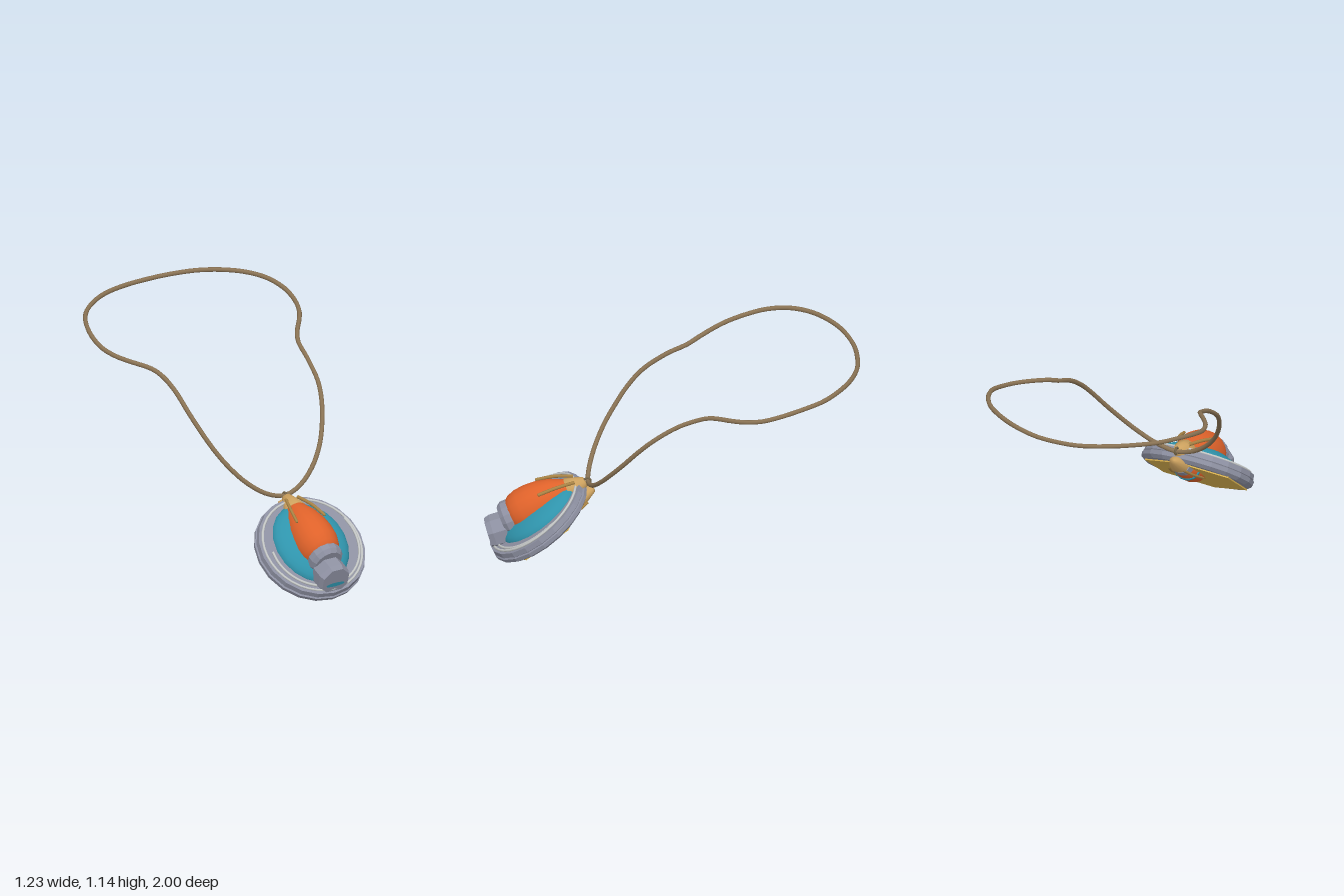
import * as THREE from 'three';

const mat = (name, color, flatShading = false) => {
  const m = new THREE.MeshStandardMaterial({ color, flatShading });
  m.name = name;
  return m;
};

export function createModel() {
  const root = new THREE.Group();
  root.name = 'pendantNecklace';

  const leather = mat('leather brown', 0x8a7354);
  const steel = mat('steel grey', 0x8d90a1, true);
  const wire = mat('pale wire', 0xc6c9c8);
  const teal = mat('teal enamel', 0x2f94ac);
  const orange = mat('orange enamel', 0xdf622a);
  const gold = mat('gold plate', 0xd9b14e, true);
  const brass = mat('brass', 0xab8546);
  const tan = mat('tan brass', 0xcda25f);
  const dark = mat('dark bronze', 0x75664a);

  const add = (parent, name, geometry, material) => {
    const m = new THREE.Mesh(geometry, material);
    m.name = name;
    parent.add(m);
    return m;
  };
  const lathe = (pts, segments, start = 0) =>
    new THREE.LatheGeometry(pts.map(([r, y]) => new THREE.Vector2(r, y)), segments, start);
  // Turned part whose axis runs along z
  const turned = (parent, name, pts, segments, material, start) =>
    add(parent, name, lathe(pts, segments, start).rotateX(Math.PI / 2), material);
  const tilted = (parent, name, y, z, angle) => {
    const g = new THREE.Group();
    g.name = name;
    g.position.set(0, y, z);
    g.rotation.x = angle;
    parent.add(g);
    return g;
  };
  // Mirrored pair of rounded prongs through the given points
  const prongPair = (parent, name, pts) => {
    for (const s of [-1, 1]) {
      const path = new THREE.CatmullRomCurve3(pts.map(([x, y, z]) => new THREE.Vector3(s * x, y, z)));
      add(parent, name, new THREE.TubeGeometry(path, 6, 0.009, 6), brass);
      add(parent, name + 'Tip', new THREE.SphereGeometry(0.009, 6, 4), brass)
        .position.copy(path.getPoint(1));
    }
  };

  // Cord: one half of the loop, mirrored to the other side
  const half = [
    [0, 0.413, 0.45], [0.1, 0.44, 0.437], [0.2, 0.51, 0.4], [0.28, 0.6, 0.345],
    [0.335, 0.69, 0.28], [0.375, 0.78, 0.21], [0.4, 0.86, 0.13], [0.41, 0.945, 0],
    [0.422, 0.99, -0.11], [0.45, 1.015, -0.17], [0.53, 1.037, -0.28], [0.57, 1.048, -0.35],
    [0.597, 1.065, -0.44], [0.598, 1.09, -0.54], [0.565, 1.112, -0.66], [0.5, 1.12, -0.77],
    [0.4, 1.123, -0.86], [0.28, 1.12, -0.93], [0.13, 1.112, -0.977], [0, 1.11, -0.987],
  ].map(p => new THREE.Vector3(...p));
  const mirrored = half.slice(1, -1).reverse().map(p => new THREE.Vector3(-p.x, p.y, p.z));
  const cordPath = new THREE.CatmullRomCurve3([...half, ...mirrored], true);
  add(root, 'cord', new THREE.TubeGeometry(cordPath, 120, 0.0125, 8, true), leather);

  // Hanging ring around the cord
  const ring = add(root, 'hangingRing', new THREE.TorusGeometry(0.018, 0.006, 6, 14), dark);
  ring.rotation.y = Math.PI / 2;
  ring.position.set(0, 0.413, 0.454);

  // Medallion: local y leaves its face, local z runs down it
  const medallion = tilted(root, 'medallion', 0.2, 0.71, 0.655);
  add(medallion, 'disc', lathe([
    [0, -0.035], [0.285, -0.035], [0.308, -0.018], [0.31, 0.004], [0.3, 0.008],
    [0.304, 0.012], [0.3, 0.04], [0, 0.036],
  ], 20), steel);

  // Hexagonal back plate with points up and down the disc
  add(medallion, 'backPlate', new THREE.CylinderGeometry(0.285, 0.285, 0.008, 6), gold)
    .position.y = -0.038;

  const dome = add(medallion, 'dome',
    new THREE.SphereGeometry(1, 20, 8, 0, Math.PI * 2, 0, Math.PI / 2), teal);
  dome.scale.set(0.21, 0.085, 0.245);
  dome.position.set(0, 0.03, -0.015);

  // Wire rim and the loose spiral end inside it
  const rim = add(medallion, 'wireRim', new THREE.TorusGeometry(0.279, 0.007, 6, 36), wire);
  rim.rotation.x = Math.PI / 2;
  rim.position.y = 0.046;
  const spiral = [];
  for (let i = 0; i <= 16; i++) {
    const t = i / 16, a = Math.PI * (1.02 - t * 1.15), r = 0.238 + 0.034 * t;
    spiral.push(new THREE.Vector3(r * Math.cos(a), 0.046, r * Math.sin(a)));
  }
  add(medallion, 'wireSpiral',
    new THREE.TubeGeometry(new THREE.CatmullRomCurve3(spiral), 32, 0.007, 6), wire);

  // Underside of the bulb, showing through the back plate
  const under = tilted(medallion, 'underside', -0.04, 0, 0);
  under.scale.y = 0.8;
  turned(under, 'underCap', [[0, -0.335], [0.026, -0.33], [0.058, -0.25], [0.05, -0.236]], 12, tan);
  turned(under, 'underCollar', [[0.05, -0.24], [0.057, -0.236], [0.062, -0.19], [0.05, -0.186]], 12, steel);
  turned(under, 'underBody', [
    [0.05, -0.2], [0.063, -0.17], [0.07, -0.12], [0.068, -0.06], [0.05, 0], [0.028, 0.03], [0, 0.045],
  ], 16, orange);
  turned(under, 'underBand', [[0.066, -0.138], [0.074, -0.136], [0.075, -0.124], [0.066, -0.122]], 16, teal);
  prongPair(under, 'backProng', [[0.042, -0.04, -0.27], [0.066, -0.04, -0.18], [0.08, -0.025, -0.08]]);

  // Bulb, passing through the disc: local z runs from tail to collar
  const bulb = tilted(root, 'bulb', 0.262, 0.75, 0.48);
  turned(bulb, 'bulbBody', [
    [0.04, -0.26], [0.064, -0.22], [0.102, -0.15], [0.123, -0.08], [0.131, -0.02],
    [0.13, 0.04], [0.117, 0.085], [0.092, 0.12], [0.07, 0.125],
  ], 20, orange).scale.x = 0.93;
  turned(bulb, 'tailCap', [[0, -0.325], [0.026, -0.32], [0.05, -0.27], [0.067, -0.225], [0.045, -0.222]], 12, tan);
  prongPair(bulb, 'frontProng', [[0.036, 0.042, -0.275], [0.066, 0.076, -0.18], [0.085, 0.095, -0.085]]);

  // Collar at the bulb's mouth
  const collar = tilted(root, 'collarGroup', 0.208, 0.872, 0.42);
  turned(collar, 'collar', [
    [0.06, -0.045], [0.086, -0.045], [0.097, -0.02], [0.097, 0.012], [0.08, 0.035], [0, 0.035],
  ], 14, steel);

  // Eight-sided nut, its lower edge sunk in the disc
  const nut = tilted(root, 'nutGroup', 0.118, 0.98, 0.3);
  turned(nut, 'nut', [
    [0.08, -0.11], [0.094, -0.1], [0.094, -0.03], [0.084, 0], [0, 0],
  ], 8, steel, Math.PI / 8);
  const inlay = add(nut, 'nutInlay', new THREE.CircleGeometry(1, 16), teal);
  inlay.scale.set(0.055, 0.013, 1);
  inlay.position.set(0, -0.02, 0.002);

  return root;
}
